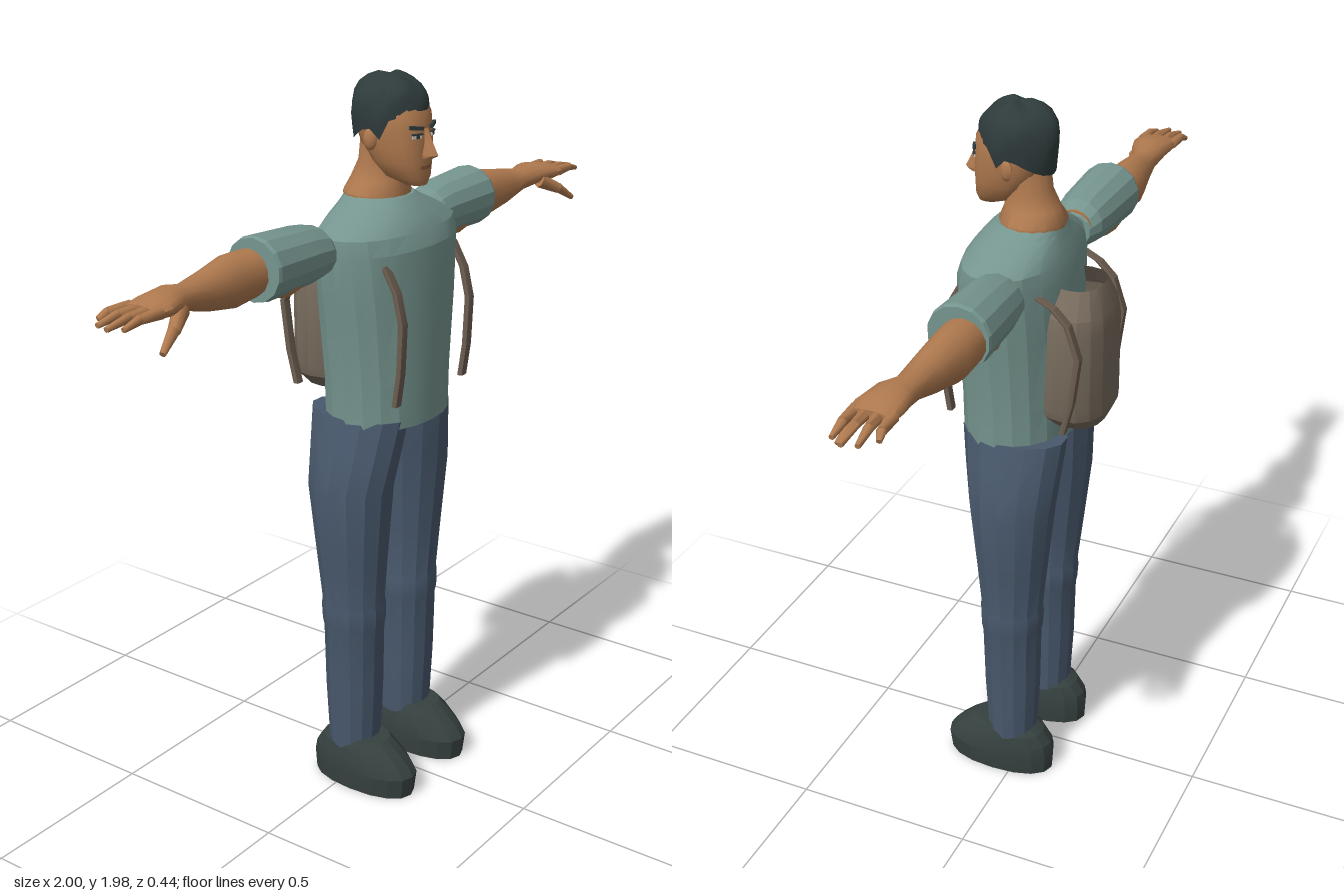
import * as THREE from 'three';
import { toCreasedNormals } from 'three/addons/utils/BufferGeometryUtils.js';

const mat = (name, color, extra = {}) => {
  const m = new THREE.MeshStandardMaterial({ color, ...extra });
  m.name = name;
  return m;
};

// closed-around grid surface from point(angle, row)
function grid(point, n, rows, flip, crease) {
  const pos = [], idx = [];
  for (let r = 0; r < rows; r++)
    for (let i = 0; i < n; i++) pos.push(...point((i / n) * Math.PI * 2, r));
  for (let r = 0; r < rows - 1; r++)
    for (let i = 0; i < n; i++) {
      const a = r * n + i, b = r * n + (i + 1) % n, c = a + n, d = b + n;
      idx.push(...(flip ? [a, b, c, b, d, c] : [a, c, b, b, c, d]));
    }
  const g = new THREE.BufferGeometry();
  g.setAttribute('position', new THREE.Float32BufferAttribute(pos, 3));
  g.setIndex(idx);
  return toCreasedNormals(g, crease);
}

// loft through rings [t, c1, c2, r1, r2] along axis 'x' or 'y'; p < 1 squares the section
function loft(axis, rings, { n = 16, p = 1, crease = 0.3, caps = true } = {}) {
  const all = caps
    ? [[...rings[0].slice(0, 3), 0, 0], ...rings, [...rings.at(-1).slice(0, 3), 0, 0]]
    : rings;
  const bend = (v) => Math.sign(v) * Math.abs(v) ** p;
  return grid((a, r) => {
    const [t, c1, c2, r1, r2] = all[r];
    const u = c1 + r1 * bend(Math.cos(a)), w = c2 + r2 * bend(Math.sin(a));
    return axis === 'y' ? [u, t, w] : [t, u, w];
  }, n, all.length, axis === 'x', crease);
}

// tapered rod between two points
function rod(a, b, r0, r1) {
  const A = new THREE.Vector3(...a), B = new THREE.Vector3(...b), d = B.clone().sub(A);
  const g = new THREE.CylinderGeometry(r1, r0, d.length(), 7);
  g.applyQuaternion(new THREE.Quaternion().setFromUnitVectors(new THREE.Vector3(0, 1, 0), d.normalize()));
  const m = A.add(B).multiplyScalar(0.5);
  return toCreasedNormals(g.translate(m.x, m.y, m.z), 0.9);
}

// thin plate, turned to follow the face
function plate(w, h, x, y, z, turn = 0, tilt = 0) {
  return new THREE.BoxGeometry(w, h, 0.008).rotateZ(tilt).rotateY(turn).translate(x, y, z).toNonIndexed();
}

// mirrored copy across x with the corner order restored
function mirror(geo) {
  const g = geo.clone().scale(-1, 1, 1);
  for (const at of Object.values(g.attributes)) {
    const s = at.itemSize, v = at.array;
    for (let i = 0; i < at.count; i += 3)
      for (let k = 0; k < s; k++) {
        const q = (i + 1) * s + k;
        [v[q], v[q + s]] = [v[q + s], v[q]];
      }
  }
  return g;
}

export function createModel() {
  const model = new THREE.Group();
  model.name = 'travellerWithBackpack';
  const skin = mat('skin', 0xb07a4f), shirt = mat('shirt', 0x76958f), denim = mat('trousers', 0x48586c);
  const dark = mat('hair', 0x2f3b3b), shoeMat = mat('shoes', 0x36413f), pack = mat('pack', 0x766a5c, { side: THREE.DoubleSide });
  const strapMat = mat('strap', 0x6c5d50), white = mat('eyeWhite', 0xc9c0b4), lip = mat('lips', 0x8c5640);

  const add = (name, geo, m) => {
    const mesh = new THREE.Mesh(geo, m);
    mesh.name = name;
    model.add(mesh);
  };
  const pair = (name, geo, m) => {
    add(name + 'Left', geo, m);
    add(name + 'Right', mirror(geo), m);
  };

  // shirt
  add('shirtBody', loft('y', [
    [1.08, 0, 0.035, 0.185, 0.145], [1.2, 0, 0.035, 0.19, 0.145], [1.4, 0, 0.034, 0.215, 0.148],
    [1.55, 0, 0.033, 0.237, 0.142], [1.59, 0, 0.03, 0.235, 0.13], [1.62, 0, 0.025, 0.185, 0.116],
    [1.65, 0, 0.017, 0.12, 0.098], [1.668, 0, 0.01, 0.09, 0.086],
  ], { n: 20, p: 0.92 }), shirt);
  pair('sleeve', loft('x', [
    [0.215, 1.55, -0.013, 0.045, 0.05], [0.25, 1.56, -0.014, 0.066, 0.07], [0.3, 1.562, -0.016, 0.076, 0.076],
    [0.47, 1.564, -0.018, 0.083, 0.084], [0.48, 1.563, -0.018, 0.08, 0.081],
  ], { n: 14 }), shirt);

  // arms and hands
  pair('arm', loft('x', [
    [0.22, 1.555, -0.015, 0.05, 0.05], [0.38, 1.541, -0.02, 0.071, 0.066], [0.48, 1.556, -0.03, 0.06, 0.06],
    [0.56, 1.552, -0.03, 0.066, 0.056], [0.65, 1.553, -0.022, 0.05, 0.045], [0.73, 1.558, -0.018, 0.032, 0.037],
    [0.78, 1.567, -0.012, 0.033, 0.05], [0.84, 1.566, -0.006, 0.025, 0.06], [0.885, 1.564, -0.006, 0.016, 0.057],
  ], { n: 14, crease: 0.9 }), skin);
  [[-0.052, -0.066, 0.955], [-0.022, -0.034, 0.99], [0.009, 0.002, 1.0], [0.038, 0.034, 0.98]].forEach(([z0, z1, x1], i) => {
    const mid = [0.93, 1.566, (z0 + z1) / 2];
    pair('finger' + i, rod([0.865, 1.565, z0], mid, 0.015, 0.012), skin);
    pair('fingertip' + i, rod(mid, [x1, 1.555, z1], 0.012, 0.007), skin);
  });
  pair('thumb', rod([0.785, 1.55, 0.025], [0.845, 1.52, 0.055], 0.021, 0.015), skin);
  pair('thumbTip', rod([0.843, 1.522, 0.054], [0.9, 1.485, 0.07], 0.015, 0.008), skin);

  // trouser legs with a raised knee band
  pair('trouserLeg', loft('y', [
    [0.12, 0.123, 0.015, 0.073, 0.07], [0.3, 0.124, 0.015, 0.078, 0.08], [0.48, 0.125, 0.015, 0.08, 0.084],
    [0.5, 0.125, 0.015, 0.084, 0.088], [0.545, 0.125, 0.014, 0.085, 0.09], [0.565, 0.126, 0.014, 0.082, 0.087],
    [0.7, 0.128, 0.012, 0.091, 0.1], [0.9, 0.13, 0.01, 0.105, 0.12], [1.0, 0.112, 0.013, 0.1, 0.133],
    [1.1, 0.095, 0.015, 0.091, 0.145],
  ], { n: 14 }), denim);

  // shoes
  pair('shoe', loft('y', [
    [0, 0.125, 0.05, 0.074, 0.158], [0.06, 0.125, 0.052, 0.08, 0.163], [0.09, 0.125, 0.045, 0.077, 0.15],
    [0.125, 0.125, 0.037, 0.07, 0.118], [0.148, 0.125, 0.04, 0.058, 0.085],
  ], { n: 16, p: 0.9 }), shoeMat);

  // neck and head
  add('neck', loft('y', [
    [1.63, 0, 0.005, 0.085, 0.075], [1.672, 0, 0.003, 0.093, 0.087], [1.705, 0, 0.005, 0.066, 0.073],
    [1.75, 0, 0.014, 0.056, 0.06], [1.82, 0, 0.02, 0.055, 0.058],
  ], { crease: 0.9 }), skin);
  add('head', loft('y', [
    [1.702, 0, 0.122, 0.026, 0.028], [1.722, 0, 0.095, 0.048, 0.061], [1.76, 0, 0.078, 0.067, 0.077],
    [1.8, 0, 0.064, 0.075, 0.091], [1.84, 0, 0.054, 0.08, 0.099], [1.88, 0, 0.05, 0.08, 0.099],
    [1.93, 0, 0.043, 0.068, 0.08], [1.955, 0, 0.04, 0.04, 0.045],
  ], { n: 20, p: 0.85, crease: 0.9 }), skin);
  add('nose', loft('y', [
    [1.772, 0, 0.155, 0.017, 0.018], [1.78, 0, 0.155, 0.018, 0.034], [1.81, 0, 0.15, 0.01, 0.023],
    [1.845, 0, 0.145, 0.009, 0.012],
  ], { n: 8, crease: 0.6 }), skin);
  const ear = new THREE.SphereGeometry(1, 8, 6).scale(0.01, 0.028, 0.018).rotateY(-0.3).translate(0.083, 1.818, 0.04);
  pair('ear', toCreasedNormals(ear, 0.9), skin);

  // painted face details
  pair('eyebrow', plate(0.04, 0.009, 0.036, 1.85, 0.147, 0.4, 0.12), dark);
  pair('eyeWhite', plate(0.026, 0.009, 0.034, 1.828, 0.146, 0.38), white);
  pair('iris', plate(0.01, 0.009, 0.033, 1.828, 0.148, 0.38), dark);
  pair('upperEyelid', plate(0.031, 0.004, 0.034, 1.834, 0.148, 0.38), dark);
  pair('lip', plate(0.024, 0.009, 0.011, 1.748, 0.15, 0.15), lip);

  // hair: cap with a low nape, sideburns and a wavy crown
  const rows = 9;
  add('hair', grid((a, r) => {
    const s = Math.sin(a), v = r / (rows - 1);
    const sideburn = 0.05 * Math.exp(-(((s - 0.2) / 0.16) ** 2));
    const hairline = (s > 0 ? 1.855 + 0.03 * s : 1.855 + 0.06 * s) - sideburn;
    const y = hairline + (1.972 - hairline) * Math.sin((v * Math.PI) / 2);
    const up = Math.max(0, (y - 1.87) / 0.102), down = Math.max(0, 1.87 - y);
    let k = Math.sqrt(Math.max(0, 1 - up ** 3)) * (1 - down * 1.2);
    k *= 1 + 0.03 * Math.sin(5 * a + 7 * v) * Math.sin(v * Math.PI);
    const wave = r === rows - 1 ? 0 : 0.008 * v * Math.sin(3 * a + 1);
    return [0.091 * k * Math.cos(a), y + wave, 0.042 + 0.103 * k * s];
  }, 24, rows, false, 0.5), dark);

  // backpack shell, open at top and bottom
  add('backpack', loft('y', [
    [1.135, 0, -0.125, 0.085, 0.075], [1.175, 0, -0.125, 0.128, 0.095], [1.2, 0, -0.125, 0.135, 0.096],
    [1.42, 0, -0.125, 0.135, 0.096], [1.46, 0, -0.125, 0.125, 0.09], [1.525, 0, -0.125, 0.078, 0.066],
  ], { n: 16, p: 0.85, caps: false }), pack);

  // shoulder straps, front and back
  const strap = (path) => loft('y', path.map(([y, z]) => [y, 0.153, z, 0.013, 0.008]), { n: 8, p: 0.4 });
  pair('frontStrap', strap([[1.16, 0.172], [1.25, 0.185], [1.38, 0.191], [1.46, 0.172], [1.525, 0.135]]), strapMat);
  pair('backStrap', strap([[1.16, -0.145], [1.25, -0.168], [1.38, -0.185], [1.47, -0.155], [1.51, -0.115], [1.535, -0.065]]), strapMat);

  return model;
}
